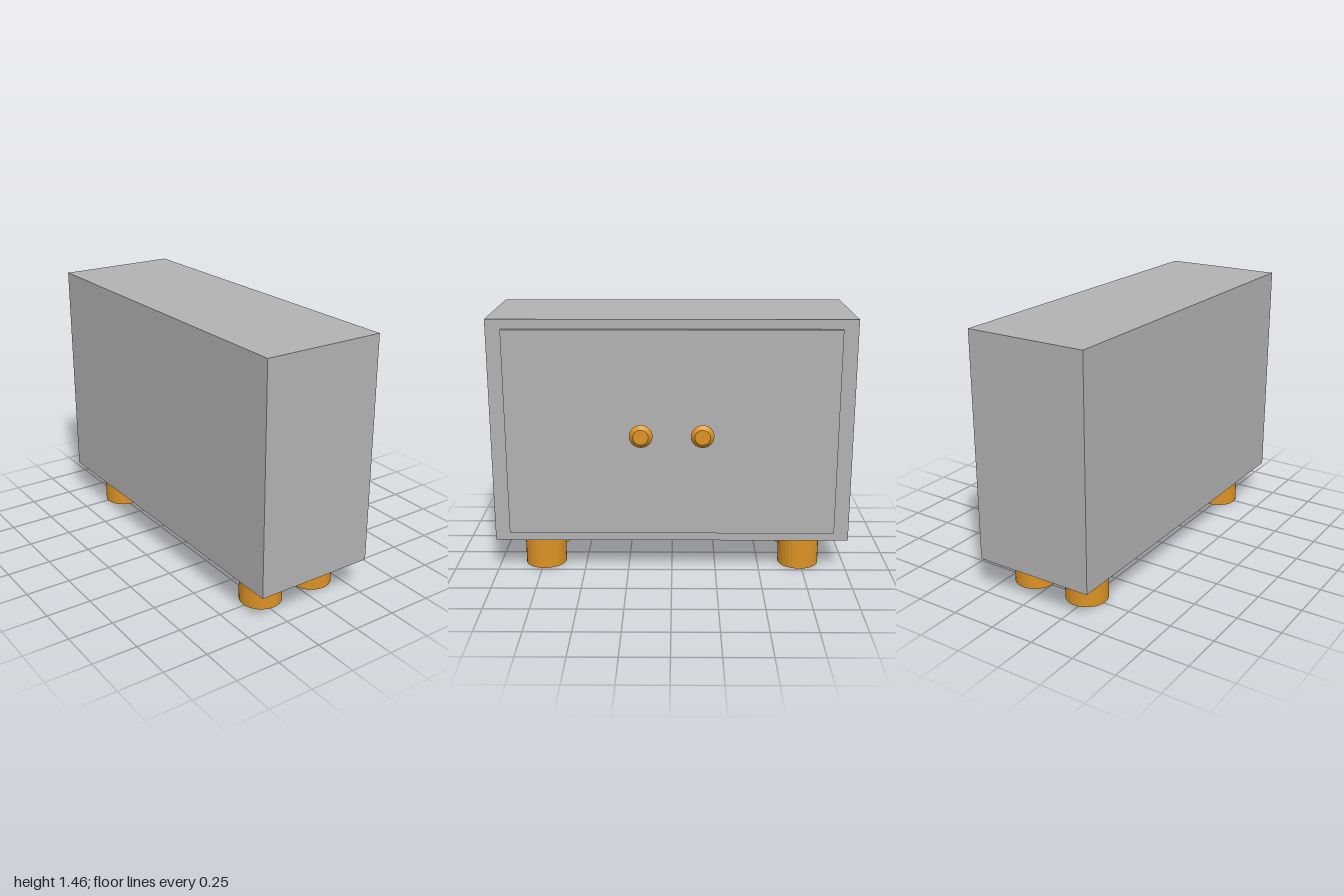
import * as THREE from 'three';

const grey = new THREE.MeshStandardMaterial({ name: 'cabinet grey', color: 0xb2b2b2 });
const amber = new THREE.MeshStandardMaterial({ name: 'amber wood', color: 0xdc9224 });

// Box given by its lower and upper bounds
function slab(name, min, max) {
  const size = max.map((v, i) => v - min[i]);
  const mesh = new THREE.Mesh(new THREE.BoxGeometry(...size), grey);
  mesh.position.set(...max.map((v, i) => (v + min[i]) / 2));
  mesh.name = name;
  return mesh;
}

// Gives every face its own flat normal
function faceted(geometry) {
  const flat = geometry.toNonIndexed();
  flat.computeVertexNormals();
  return flat;
}

export function createModel() {
  const model = new THREE.Group();
  model.name = 'cabinet';

  // Carcass and raised front panel, facing +x
  model.add(slab('body', [-0.413, 0.194, -1], [0.275, 1.46, 1]));
  model.add(slab('doorPanel', [0.275, 0.248, -0.915], [0.302, 1.408, 0.915]));

  // Four stout round legs
  const legGeometry = faceted(new THREE.CylinderGeometry(0.117, 0.117, 0.194, 32));
  for (const x of [-0.227, 0.115]) {
    for (const z of [-0.738, 0.738]) {
      const leg = new THREE.Mesh(legGeometry, amber);
      leg.name = 'leg';
      leg.position.set(x, 0.097, z);
      model.add(leg);
    }
  }

  // Two turned knobs: stem, flared head and bevelled cap
  const sections = [
    ['knobStem', 0, 0.051, 0.033, 0.033],
    ['knobFlare', 0.051, 0.084, 0.033, 0.064],
    ['knobCap', 0.084, 0.108, 0.064, 0.042],
  ];
  for (const z of [-0.167, 0.167]) {
    const knob = new THREE.Group();
    knob.name = 'knob';
    for (const [name, from, to, r0, r1] of sections) {
      const geometry = faceted(new THREE.CylinderGeometry(r1, r0, to - from, 24));
      const part = new THREE.Mesh(geometry, amber);
      part.name = name;
      part.position.y = (from + to) / 2;
      knob.add(part);
    }
    knob.rotation.z = -Math.PI / 2;
    knob.position.set(0.302, 0.843, z);
    model.add(knob);
  }
  return model;
}
